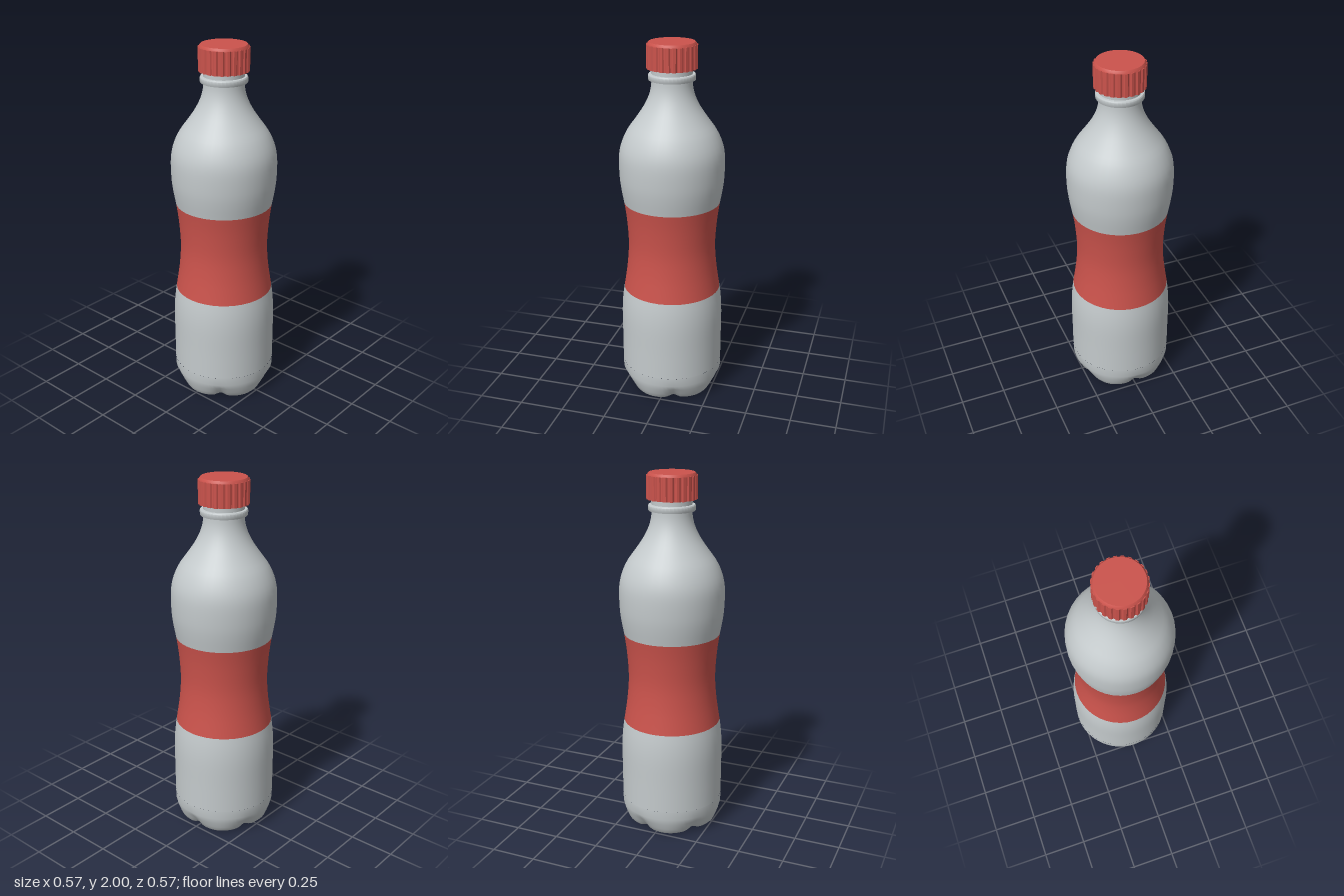
import * as THREE from 'three';
import { mergeVertices, toCreasedNormals } from 'three/addons/utils/BufferGeometryUtils.js';

const SIDES = 40;
const v2 = (list) => list.map(([r, y]) => new THREE.Vector2(r, y));

export function createModel() {
  const model = new THREE.Group();
  const grey = new THREE.MeshStandardMaterial({ color: 0xc4cacc });
  grey.name = 'bottle grey';
  const red = new THREE.MeshStandardMaterial({ color: 0xcb534c });
  red.name = 'label red';

  const add = (name, geometry, material) => {
    const mesh = new THREE.Mesh(geometry, material);
    mesh.name = name;
    model.add(mesh);
  };

  // Side curve of the bottle as [radius, height], smoothly interpolated
  const curve = new THREE.CatmullRomCurve3([
    [0.285, 0.16], [0.285, 0.3], [0.285, 0.48], [0.278, 0.57], [0.264, 0.66], [0.25, 0.76],
    [0.242, 0.88], [0.25, 1.02], [0.263, 1.12], [0.277, 1.2], [0.285, 1.27], [0.285, 1.4],
    [0.272, 1.46], [0.24, 1.53], [0.197, 1.59], [0.15, 1.66], [0.122, 1.72], [0.11, 1.77],
    [0.108, 1.81],
  ].map(([r, y]) => new THREE.Vector3(r, y, 0)), false, 'centripetal');
  const samples = curve.getPoints(360);

  // Radius of the side curve at a given height
  const radiusAt = (y) => {
    const i = Math.max(1, samples.findIndex((p) => p.y >= y));
    const a = samples[i - 1], b = samples[i];
    return THREE.MathUtils.lerp(a.x, b.x, (y - a.y) / (b.y - a.y));
  };

  // Turned section of the bottle between two heights
  const section = (name, y0, y1, steps, material) => {
    const points = [];
    for (let i = 0; i <= steps; i++) {
      const y = THREE.MathUtils.lerp(y0, y1, i / steps);
      points.push(new THREE.Vector2(radiusAt(y), y));
    }
    add(name, new THREE.LatheGeometry(points, SIDES), material);
  };
  section('lowerBody', 0.16, 0.62, 12, grey);
  section('label', 0.62, 1.13, 16, red);
  section('upperBody', 1.13, 1.805, 28, grey);

  // Base: five feet with pinched notches between them and a hollow centre
  const base = new THREE.LatheGeometry(v2([
    [0, 0.03], [0.07, 0.027], [0.1, 0.012], [0.17, 0.007], [0.215, 0], [0.24, 0.003],
    [0.252, 0.015], [0.263, 0.04], [0.276, 0.075], [0.284, 0.11], [0.285, 0.16],
  ]), SIDES * 2);
  base.deleteAttribute('uv');
  base.deleteAttribute('normal');
  const p = base.attributes.position;
  for (let i = 0; i < p.count; i++) {
    const x = p.getX(i), y = p.getY(i), z = p.getZ(i);
    const r = Math.hypot(x, z);
    const wave = (1 + Math.cos(5 * Math.atan2(z, x))) / 2;
    const low = Math.max(0, 1 - y / 0.11);
    const outer = THREE.MathUtils.smoothstep(r, 0.12, 0.23);
    const pull = 1 - outer * low * (0.07 * wave + 0.05 * wave ** 12);
    const lift = outer * low * 0.014 * wave ** 8;
    p.setXYZ(i, x * pull, y + lift, z * pull);
  }
  const feet = mergeVertices(base, 1e-5);
  feet.computeVertexNormals();
  add('base', feet, grey);

  // Neck finish and support ring
  const neck = new THREE.LatheGeometry(v2([
    [0.108, 1.8], [0.124, 1.802], [0.126, 1.806], [0.126, 1.828], [0.122, 1.834],
    [0.109, 1.835], [0.109, 1.87],
  ]), SIDES);
  add('neckRing', toCreasedNormals(neck, 0.6), grey);

  // Ridged cap wall, made from a toothed outline
  const outline = [];
  const teeth = 24;
  for (let i = 0; i < teeth; i++) {
    for (const [t, r] of [[0, 0.128], [0.25, 0.135], [0.75, 0.135], [1, 0.128]]) {
      const a = ((i + t * 0.8) / teeth) * Math.PI * 2;
      outline.push(new THREE.Vector2(r * Math.cos(a), r * Math.sin(a)));
    }
  }
  const wall = new THREE.ExtrudeGeometry(new THREE.Shape(outline), { depth: 0.125, bevelEnabled: false });
  wall.rotateX(-Math.PI / 2).translate(0, 1.862, 0);
  add('capWall', wall, red);

  // Bevelled cap top
  const top = new THREE.LatheGeometry(v2([
    [0.131, 1.985], [0.129, 1.991], [0.122, 2], [0, 2],
  ]), SIDES);
  add('capTop', toCreasedNormals(top, 0.5), red);

  return model;
}
